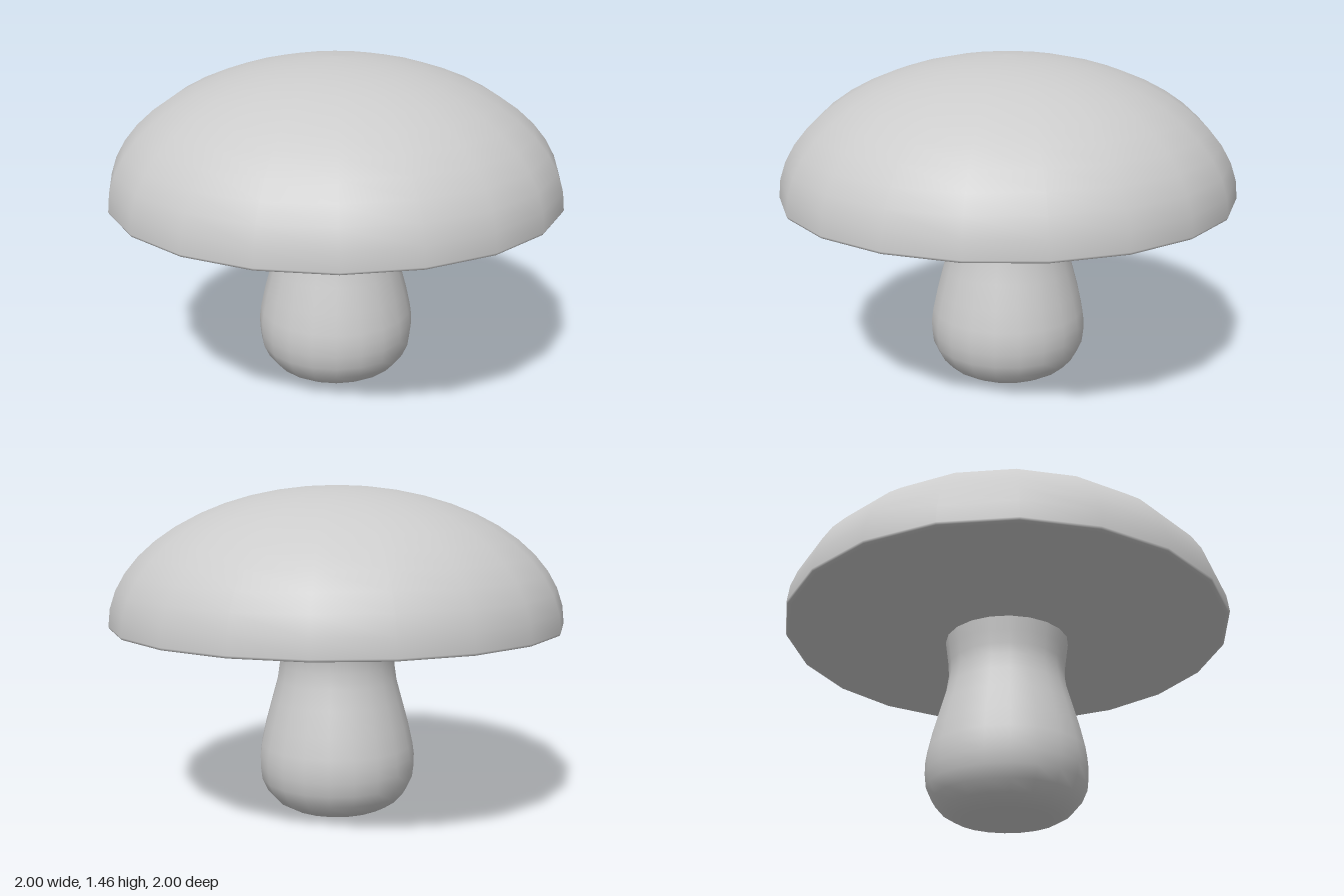
import * as THREE from 'three';

const SIDES = 20;

// Revolves a list of [radius, height] points, ordered from bottom to top
function turned(name, points) {
  const profile = points.map(([r, y]) => new THREE.Vector2(r, y));
  const material = new THREE.MeshStandardMaterial({ color: 0xcccccc });
  const mesh = new THREE.Mesh(new THREE.LatheGeometry(profile, SIDES), material);
  mesh.name = name;
  return mesh;
}

export function createModel() {
  const model = new THREE.Group();
  model.name = 'mushroom';

  // Stem: bulbous rounded foot, narrow neck, slight flare under the cap
  const stem = new THREE.Group();
  stem.name = 'stem';
  stem.add(
    turned('stemBody', [
      [0, 0], [0.18, 0.002], [0.23, 0.012], [0.28, 0.04], [0.32, 0.085],
      [0.345, 0.14], [0.352, 0.2], [0.352, 0.25], [0.345, 0.3], [0.325, 0.39],
      [0.295, 0.5], [0.27, 0.59], [0.26, 0.66], [0.262, 0.71], [0.27, 0.77], [0.278, 0.83],
    ]),
    turned('stemTop', [[0.278, 0.83], [0, 0.83]]),
  );

  // Cap: half-ellipsoid dome with a small rounded rim and flat underside
  const dome = [[0.98, 0.845], [0.995, 0.848]];
  const rings = 12;
  for (let i = 0; i <= rings; i++) {
    const a = (i / rings) * Math.PI / 2;
    dome.push([i === rings ? 0 : Math.cos(a), 0.858 + 0.597 * Math.sin(a)]);
  }
  const cap = new THREE.Group();
  cap.name = 'cap';
  cap.add(
    turned('capDome', dome),
    turned('capUnderside', [[0, 0.845], [0.98, 0.845]]),
  );

  model.add(stem, cap);
  return model;
}
